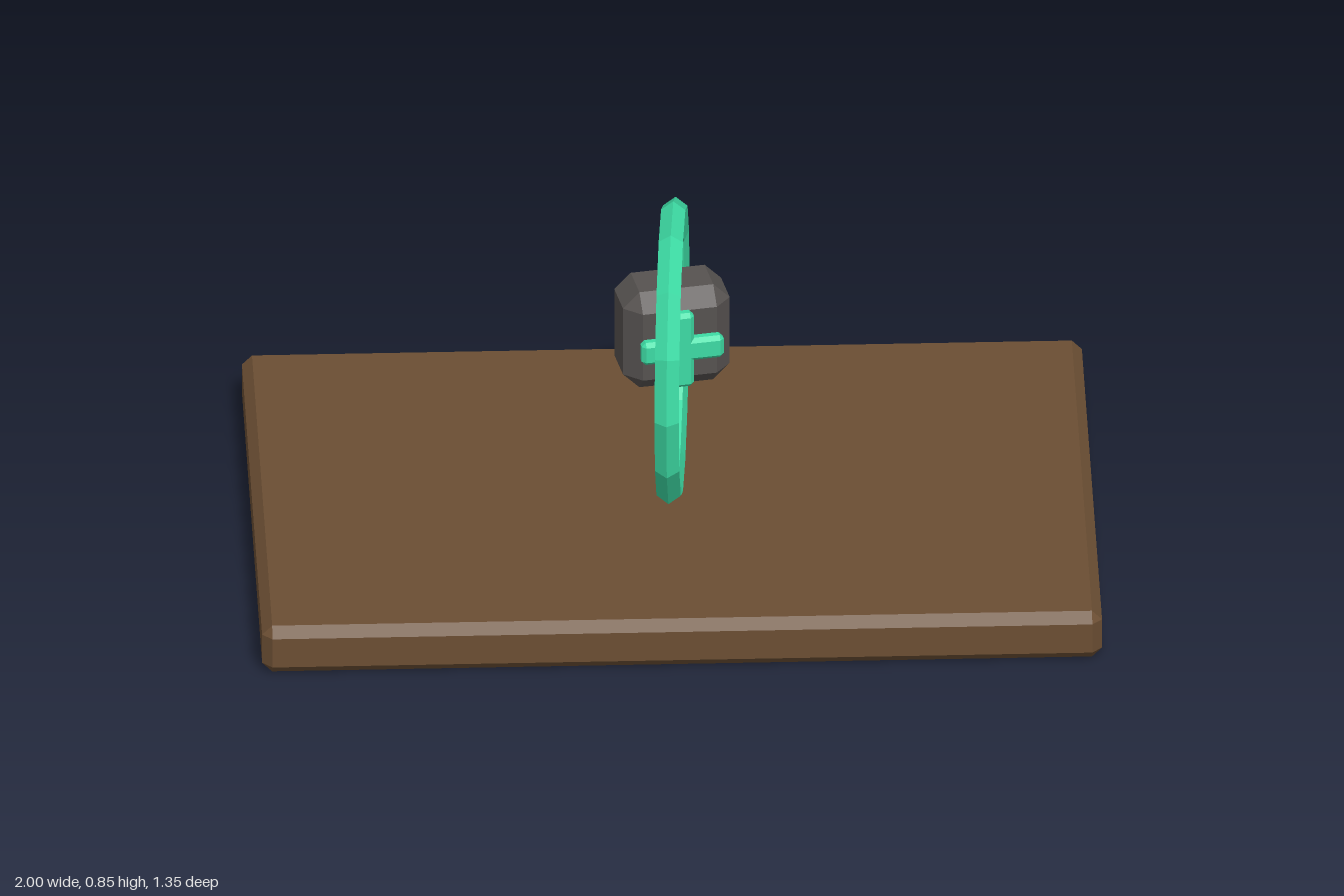
import * as THREE from 'three';
import { ConvexGeometry } from 'three/addons/geometries/ConvexGeometry.js';

// Box with every edge cut at 45 degrees
function chamferBox(w, h, d, c) {
  const half = [w / 2, h / 2, d / 2];
  const points = [];
  for (const sx of [-1, 1]) for (const sy of [-1, 1]) for (const sz of [-1, 1]) {
    for (let axis = 0; axis < 3; axis++) {
      const [x, y, z] = half.map((v, i) => (i === axis ? v : v - c));
      points.push(new THREE.Vector3(x * sx, y * sy, z * sz));
    }
  }
  return new ConvexGeometry(points);
}

function addPart(parent, name, geometry, material, x, y, z) {
  const mesh = new THREE.Mesh(geometry, material);
  mesh.name = name;
  mesh.position.set(x, y, z);
  parent.add(mesh);
  return mesh;
}

function makeMaterial(name, color) {
  const material = new THREE.MeshStandardMaterial({ color });
  material.name = name;
  return material;
}

export function createModel() {
  const wood = makeMaterial('brown wood', 0x6b4e33);
  const grey = makeMaterial('dark grey', 0x565250);
  const green = makeMaterial('mint green', 0x3ddba4);

  const model = new THREE.Group();
  model.name = 'model';

  // Slab underneath
  addPart(model, 'baseSlab', chamferBox(2, 0.125, 1.35, 0.024), wood, 0, 0.0625, 0);

  // Faceted upright ring, turned almost edge-on to the front
  const ringGeometry = new THREE.TorusGeometry(0.34, 0.0305, 5, 14).toNonIndexed();
  ringGeometry.computeVertexNormals();
  const ring = addPart(model, 'ring', ringGeometry, green, 0, 0.488, 0);
  ring.rotation.y = 1.497;

  // Floating block with a raised cross on its front
  const block = new THREE.Group();
  block.name = 'floatingBlock';
  block.position.y = 0.555;
  block.rotation.y = 0.18;
  model.add(block);
  addPart(block, 'blockBody', chamferBox(0.26, 0.26, 0.176, 0.04), grey, 0, 0, 0);
  addPart(block, 'crossUpright', chamferBox(0.055, 0.2, 0.035, 0.01), green, 0, 0, 0.111);
  addPart(block, 'crossBar', chamferBox(0.2, 0.06, 0.035, 0.01), green, 0, 0, 0.111);

  return model;
}
